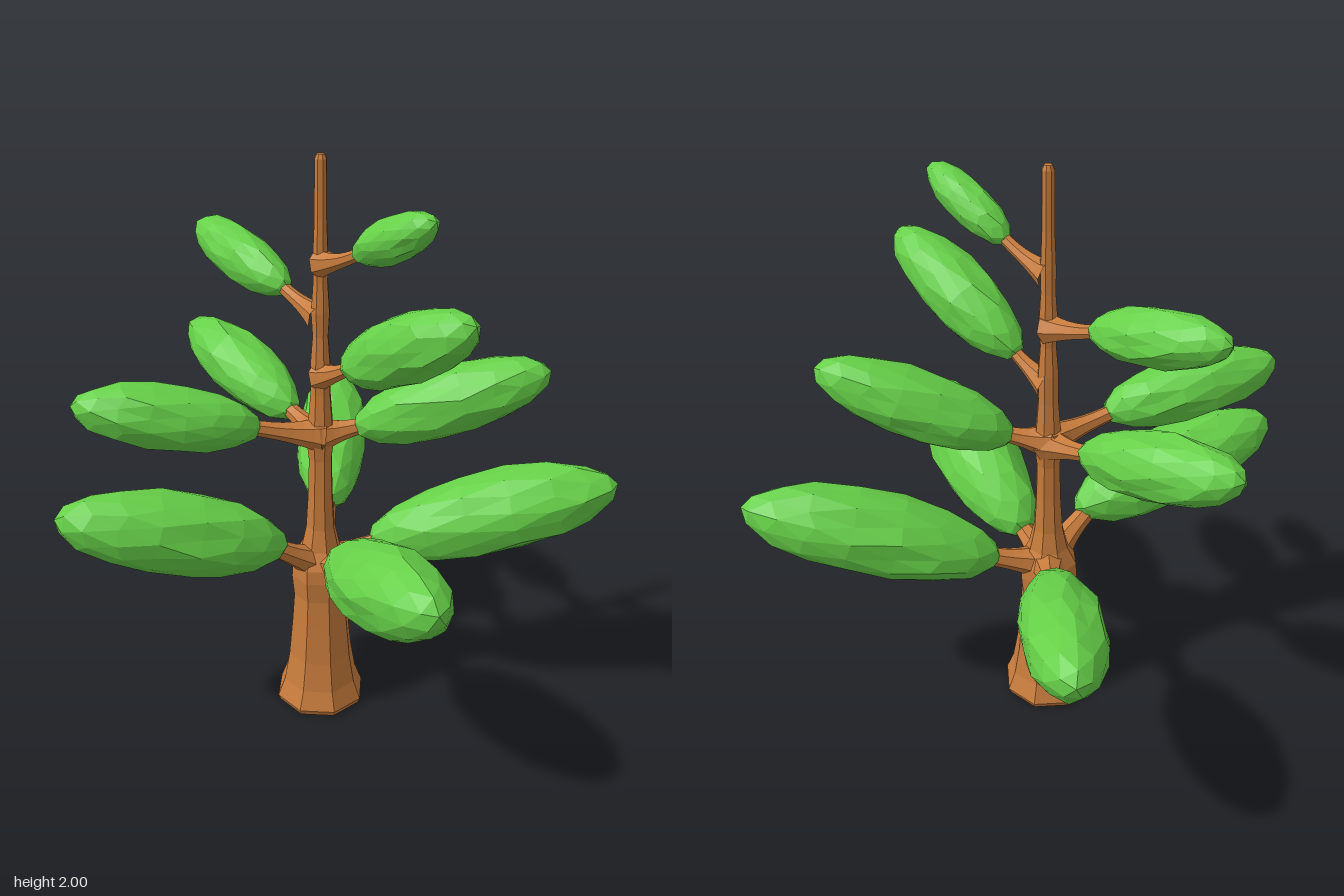
import * as THREE from 'three';

const V = (a) => new THREE.Vector3(...a);
const UP = new THREE.Vector3(0, 1, 0);
const AXIS = { x: 0.035, z: -0.03 };

const bark = new THREE.MeshStandardMaterial({ color: 0xc87c3c, flatShading: true });
const leaf = new THREE.MeshStandardMaterial({ color: 0x66d048, flatShading: true });

// One entry per branch: trunk height, leaf clump inner end, outer end, clump radius, branch radius
const BRANCHES = [
  [0.57, [-0.12, 0.70, -0.02], [-0.80, 0.90, -0.37], 0.14, 0.036],
  [0.57, [0.02, 0.62, 0.09], [-0.23, 0.87, 0.79], 0.145, 0.036],
  [0.57, [0.19, 0.63, 0.05], [0.79, 0.89, 0.65], 0.145, 0.036],
  [0.57, [0.21, 0.66, -0.19], [0.71, 0.88, -0.71], 0.135, 0.036],
  [1.07, [-0.15, 1.12, -0.11], [-0.66, 1.23, -0.45], 0.11, 0.03],
  [1.07, [0.12, 1.09, 0.04], [0.52, 1.34, 0.53], 0.115, 0.03],
  [1.06, [0.05, 1.09, -0.18], [0.06, 1.25, -0.79], 0.11, 0.03],
  [1.28, [0.035, 1.34, 0.09], [0.035, 1.63, 0.63], 0.108, 0.024],
  [1.48, [0.04, 1.53, -0.20], [0.05, 1.65, -0.70], 0.088, 0.024],
  [1.66, [0.035, 1.72, 0.13], [0.035, 1.89, 0.46], 0.067, 0.022],
];

// Flared octagonal trunk running up to a thin bare tip
function makeTrunk() {
  const profile = [
    [0, 0], [0.155, 0], [0.163, 0.02], [0.137, 0.09], [0.118, 0.2], [0.105, 0.34],
    [0.097, 0.45], [0.105, 0.53], [0.102, 0.58], [0.07, 0.64], [0.052, 0.72],
    [0.044, 0.85], [0.041, 0.98], [0.05, 1.06], [0.043, 1.12], [0.035, 1.22],
    [0.035, 1.32], [0.027, 1.42], [0.032, 1.5], [0.025, 1.6], [0.026, 1.68],
    [0.021, 1.8], [0.02, 1.985], [0.013, 2], [0, 2],
  ].map(([r, y]) => new THREE.Vector2(r, y));
  const trunk = new THREE.Mesh(new THREE.LatheGeometry(profile, 8, Math.PI / 8), bark);
  trunk.position.set(AXIS.x, 0, AXIS.z);
  trunk.name = 'trunk';
  return trunk;
}

// Bent branch, swelling where it joins the trunk
function makeBranch(height, inner, outer, radius) {
  const end = inner.clone().lerp(outer, 0.12);
  const start = new THREE.Vector3(AXIS.x, height, AXIS.z);
  const bend = start.clone().lerp(inner, 0.6);
  bend.y = height + (inner.y - height) * 0.35;
  const path = new THREE.QuadraticBezierCurve3(start, bend, end);
  const rings = 8, sides = 7;
  const geometry = new THREE.TubeGeometry(path, rings, radius, sides, false);
  const pos = geometry.attributes.position;
  const p = new THREE.Vector3();
  for (let i = 0; i < pos.count; i++) {
    const t = Math.floor(i / (sides + 1)) / rings;
    const centre = path.getPointAt(t);
    const swell = 0.9 + 1.3 * Math.pow(1 - t, 3);
    p.fromBufferAttribute(pos, i).sub(centre).multiplyScalar(swell).add(centre);
    pos.setXYZ(i, p.x, p.y, p.z);
  }
  const branch = new THREE.Mesh(geometry, bark);
  branch.name = 'branch';
  return branch;
}

// Long faceted leaf clump stretched between two points
function makeClump(inner, outer, radius, seed) {
  const geometry = new THREE.IcosahedronGeometry(1, 2);
  geometry.rotateZ(-Math.atan(2 / (1 + Math.sqrt(5)))); // a corner at each end
  const pos = geometry.attributes.position;
  const half = inner.distanceTo(outer) / 2;
  for (let i = 0; i < pos.count; i++) {
    const x = pos.getX(i), y = pos.getY(i), z = pos.getZ(i);
    const bump = 1 + 0.07 * Math.sin(7 * x + 3 * y + seed) * Math.cos(6 * z - 5 * y + 2 * seed);
    pos.setXYZ(i, x * radius * bump, y * half, z * radius * bump);
  }
  geometry.computeVertexNormals();
  const clump = new THREE.Mesh(geometry, leaf);
  clump.quaternion.setFromUnitVectors(UP, outer.clone().sub(inner).normalize());
  clump.position.copy(inner).lerp(outer, 0.5);
  clump.name = 'leafClump';
  return clump;
}

export function createModel() {
  const tree = new THREE.Group();
  tree.name = 'tree';
  tree.add(makeTrunk());
  BRANCHES.forEach(([height, a, b, clumpRadius, branchRadius], i) => {
    const inner = V(a), outer = V(b);
    const limb = new THREE.Group();
    limb.name = 'limb' + (i + 1);
    limb.add(makeBranch(height, inner, outer, branchRadius));
    limb.add(makeClump(inner, outer, clumpRadius, i * 1.7));
    tree.add(limb);
  });
  return tree;
}
